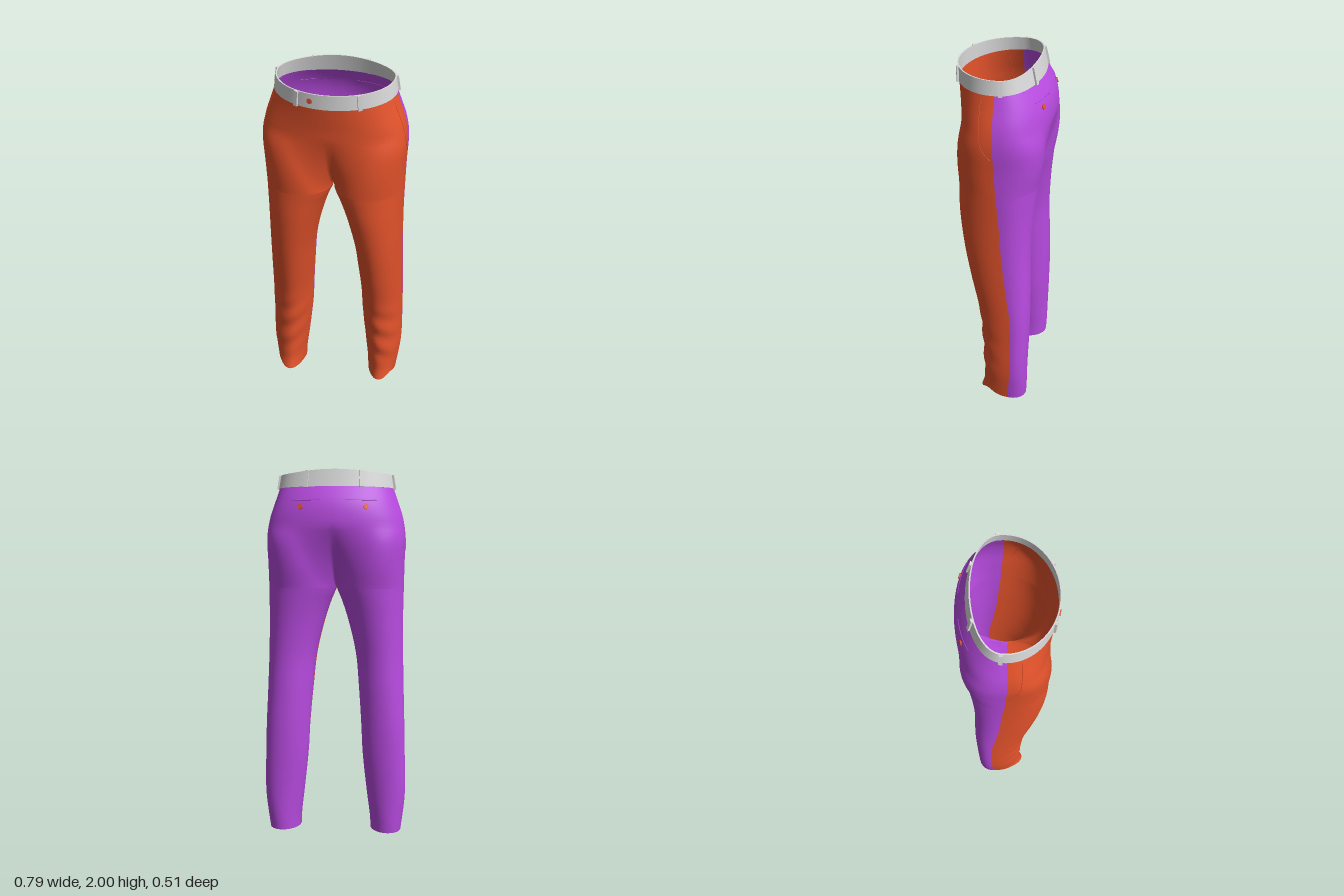
import * as THREE from 'three';
import { mergeVertices, toCreasedNormals } from 'three/addons/utils/BufferGeometryUtils.js';

const CROTCH = 1.37;
const { clamp, lerp, smoothstep } = THREE.MathUtils;
const pw = (v, p) => Math.sign(v) * Math.abs(v) ** p;

// Leg and hip sizes by height: y, outer x, inner x, front z, back z, side seam z
const KEYS = [
  [0, .372, .2, .085, -.185, -.085],
  [.06, .38, .197, .068, -.188, -.088],
  [.2, .394, .18, .066, -.19, -.1],
  [.45, .391, .153, .08, -.196, -.104],
  [.6, .387, .145, .1, -.198, -.098],
  [.8, .38, .13, .143, -.195, -.072],
  [1, .374, .11, .18, -.19, -.05],
  [1.2, .371, .062, .205, -.2, -.036],
  [1.3, .372, .028, .209, -.21, -.028],
  [CROTCH, .373, 0, .211, -.218, -.022],
  [1.5, .375, 0, .214, -.236, -.015],
  [1.65, .378, 0, .218, -.252, -.008],
  [1.75, .362, 0, .225, -.253, -.005],
  [1.82, .337, 0, .235, -.236, -.005],
  [1.9, .308, 0, .246, -.187, -.008],
];
const sizes = new THREE.CubicInterpolant(KEYS.map(k => k[0]), KEYS.flatMap(k => k.slice(1)), 5);

// Point on the cloth: phi runs from centre front (0) round the outside to centre back (PI)
function clothPoint(side, y, phi, out = 0) {
  const [o, inner, zf, zb, s] = sizes.evaluate(y);
  const i = y >= CROTCH ? 0 : Math.max(0, inner);
  const front = phi <= Math.PI / 2, c = Math.cos(phi);
  // closed leg ring blends into the open half of the body ring, quickest at the centre seam
  const away = 1 - smoothstep(Math.abs(c), .7, 1);
  const k = clamp((y - CROTCH) / .33, 0, 1) ** lerp(.5, 1.3, away);
  const d = (front ? zf - s : s - zb) * (1 + .3 * k * (1 - k)) + out;
  const boxy = lerp(.6, front ? 1 : .85, smoothstep(y, 1.6, 1.9));
  // the inner front of the lower leg is cut off at a slant
  const slant = phi < Math.PI / 4 ? .6 * (1 - smoothstep(y, .4, 1.1)) : 0;
  const legX = (o + i) / 2 - (o - i) / 2 * Math.cos(2 * phi);
  const legZ = d * pw(Math.sin(2 * phi), .85 + slant) + .028 * c ** 4;
  const x = lerp(legX, o * Math.sin(phi), k) + out * Math.sin(phi);
  let z = s + lerp(legZ, d * pw(c, boxy), k);
  // soft folds on the shin
  const fold = smoothstep(y, .04, .2) * (1 - smoothstep(y, .4, .65));
  if (front) z += .006 * fold * Math.sin(40 * y + 5 * phi) * Math.sin(2 * phi);
  // hem notch at the outer front, raised back at the waist
  const notch = .033 * (1 - smoothstep(y, 0, .12)) * Math.exp(-(((phi - 1.18) / .2) ** 2));
  const rise = .02 * smoothstep(y, 1.7, 1.9) * (1 - c) / 2;
  return new THREE.Vector3(side * x, y + notch + rise, z);
}

// Both legs and hips as one smooth shell: group 0 is the front cloth, group 1 the back
function shellGeometry() {
  const heights = [], n = 48, pos = [], frontIdx = [], backIdx = [];
  for (let r = 0; r < 56; r++) heights.push(CROTCH * r / 56);
  for (let r = 0; r <= 28; r++) heights.push(CROTCH + (1.9 - CROTCH) * (r / 28) ** 1.6);
  for (const side of [1, -1]) {
    const base = pos.length / 3;
    heights.forEach((y, r) => {
      for (let j = 0; j <= n; j++) {
        pos.push(...clothPoint(side, y, Math.PI * j / n).toArray());
        if (r === 0 || j === n) continue;
        const a = base + (r - 1) * (n + 1) + j, b = a + 1, d = a + n + 1, c = d + 1;
        const list = j < n / 2 ? frontIdx : backIdx;
        list.push(...(side > 0 ? [a, b, c, a, c, d] : [a, c, b, a, d, c]));
      }
    });
  }
  let g = new THREE.BufferGeometry();
  g.setAttribute('position', new THREE.Float32BufferAttribute(pos, 3));
  g.setIndex([...frontIdx, ...backIdx]);
  g = mergeVertices(g, 1e-5);
  g.addGroup(0, frontIdx.length, 0);
  g.addGroup(frontIdx.length, backIdx.length, 1);
  g.computeVertexNormals();
  return g;
}

// Point on the waistband: v = 0 at its lower edge, 1 at its upper edge
function bandPoint(phi, v, out = 0) {
  const c = Math.cos(phi), back = (1 - c) / 2;
  const depth = c > 0 ? lerp(.257, .26, v) : lerp(.181, .16, v);
  const y = lerp(1.888 + .022 * back, 1.965 + .01 * back + .025 * back ** 6, v);
  return new THREE.Vector3((lerp(.313, .301, v) + out) * Math.sin(phi), y,
    -.01 + (depth + out) * pw(c, c > 0 ? 1 : .85));
}

function bandGeometry() {
  const n = 96, profile = [[0, .003], [.5, .003], [1, .003], [1, -.004], [0, -.004], [0, .003]];
  const pos = [], idx = [];
  profile.forEach(([v, out], r) => {
    for (let j = 0; j <= n; j++) {
      pos.push(...bandPoint(2 * Math.PI * j / n, v, out).toArray());
      if (r === 0 || j === n) continue;
      const a = (r - 1) * (n + 1) + j, b = a + 1, d = a + n + 1, c = d + 1;
      idx.push(a, b, c, a, c, d);
    }
  });
  const g = new THREE.BufferGeometry();
  g.setAttribute('position', new THREE.Float32BufferAttribute(pos, 3));
  g.setIndex(idx);
  return toCreasedNormals(g, .7);
}

// Turns an object so its y follows up and its z faces outward
function orient(mesh, at, tangent, up) {
  const y = up.clone().normalize();
  const z = tangent.clone().cross(y).normalize();
  mesh.quaternion.setFromRotationMatrix(new THREE.Matrix4().makeBasis(y.clone().cross(z), y, z));
  mesh.position.copy(at);
}

export function createModel() {
  const model = new THREE.Group();
  const cloth = (name, color) => {
    const m = new THREE.MeshStandardMaterial({ color, side: THREE.DoubleSide });
    m.name = name;
    return m;
  };
  const orange = cloth('orange front cloth', 0xe2522b);
  const purple = cloth('purple back cloth', 0xb84be0);
  const grey = cloth('light grey waistband', 0xd8d8d8);
  const add = (name, geometry, material) => {
    const mesh = new THREE.Mesh(geometry, material);
    mesh.name = name;
    model.add(mesh);
    return mesh;
  };

  add('trouserShell', shellGeometry(), [orange, purple]);
  add('waistband', bandGeometry(), grey);

  // Belt loops
  for (const phi of [.52, 1.67, 2.66]) for (const side of [1, -1]) {
    const p = side * phi;
    const low = bandPoint(p, -.04, .007), high = bandPoint(p, 1, .007);
    const tangent = bandPoint(p + .01, .5).sub(bandPoint(p - .01, .5));
    const loop = add('beltLoop', new THREE.BoxGeometry(.02, low.distanceTo(high), .012), grey);
    orient(loop, low.clone().lerp(high, .5), tangent, high.clone().sub(low));
  }

  // Waist button
  const disc = new THREE.CylinderGeometry(.014, .014, .006, 20).rotateX(Math.PI / 2);
  const button = add('waistButton', disc, orange);
  orient(button, bandPoint(-.278, .5, .005),
    bandPoint(-.268, .5).sub(bandPoint(-.288, .5)), new THREE.Vector3(0, 1, 0));

  for (const side of [1, -1]) {
    const seam = (name, count, at, radius, material) => {
      const pts = Array.from({ length: count }, (_, i) => at(i / (count - 1)));
      add(name, new THREE.TubeGeometry(new THREE.CatmullRomCurve3(pts), 32, radius, 6), material);
    };
    // Slanted side pocket edge
    seam('sidePocketEdge', 12, u => clothPoint(side, 1.87 - .29 * u, 1.29 + .27 * u ** 1.8), .002, orange);
    // Back pocket welt and its button
    seam('backPocketWelt', 8, u => clothPoint(side, 1.825, Math.PI - .2 - .55 * u), .002, purple);
    const p = Math.PI - .52;
    const tangent = clothPoint(side, 1.795, p + .02).sub(clothPoint(side, 1.795, p - .02)).multiplyScalar(side);
    const up = clothPoint(side, 1.81, p).sub(clothPoint(side, 1.78, p));
    orient(add('backPocketButton', disc, orange), clothPoint(side, 1.795, p, .003), tangent, up);
  }
  return model;
}
